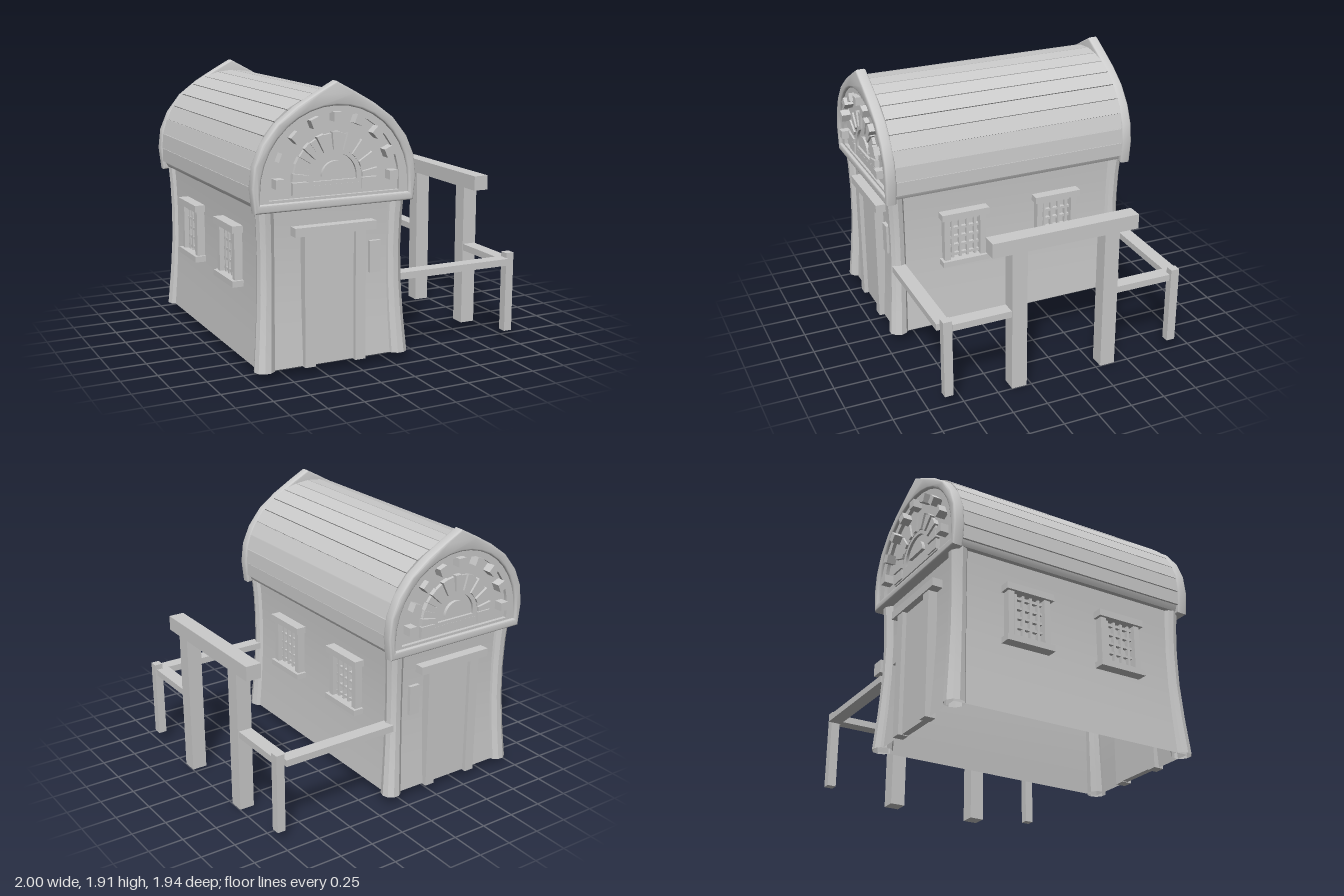
import * as THREE from 'three';
import { toCreasedNormals } from 'three/addons/utils/BufferGeometryUtils.js';

const mat = new THREE.MeshStandardMaterial({ color: 0xcccccc, side: THREE.DoubleSide });
const CX = -0.42; // the house sits left of the fenced yard

function add(parent, name, geo) {
  const m = new THREE.Mesh(geo, mat);
  m.name = name;
  parent.add(m);
  return m;
}

// Box given by its limits on each axis
function box(parent, name, x0, x1, y0, y1, z0, z1) {
  const m = add(parent, name, new THREE.BoxGeometry(x1 - x0, y1 - y0, z1 - z0));
  m.position.set((x0 + x1) / 2, (y0 + y1) / 2, (z0 + z1) / 2);
  return m;
}

// Flat shape extruded from z0 to z1, optionally with a rounded edge
function slab(parent, name, shape, z0, z1, bevel = 0) {
  const geo = new THREE.ExtrudeGeometry(shape, {
    depth: z1 - z0 - 2 * bevel, curveSegments: 16, bevelEnabled: bevel > 0,
    bevelSize: bevel, bevelThickness: bevel, bevelOffset: -bevel, bevelSegments: 3,
  });
  geo.translate(0, 0, z0 + bevel);
  return add(parent, name, toCreasedNormals(geo, 0.6));
}

// Skin through rings of equal point counts (open top and bottom)
function loft(rings) {
  const n = rings[0].length, pos = [], idx = [];
  rings.forEach((r) => r.forEach((p) => pos.push(...p)));
  for (let k = 0; k < rings.length - 1; k++) {
    for (let i = 0; i < n; i++) {
      const a = k * n + i, b = k * n + (i + 1) % n;
      idx.push(a, a + n, b, b, a + n, b + n);
    }
  }
  const geo = new THREE.BufferGeometry();
  geo.setAttribute('position', new THREE.Float32BufferAttribute(pos, 3));
  geo.setIndex(idx);
  return toCreasedNormals(geo, 0.6);
}

// Round arch outline with straight legs down to a base line
function archPoints(r, cy, base, segs = 18) {
  const pts = [new THREE.Vector2(-r, base), new THREE.Vector2(r, base)];
  for (let i = 0; i <= segs; i++) {
    const a = Math.PI * i / segs;
    pts.push(new THREE.Vector2(r * Math.cos(a), cy + r * Math.sin(a)));
  }
  return pts;
}

function withHole(outer, inner) {
  const s = new THREE.Shape(outer);
  if (inner) s.holes.push(new THREE.Path(inner));
  return s;
}

// Height and outward flare of the walls
const FLARE = [[0.06, 0.04], [0.2, 0.028], [0.32, 0.018], [0.57, 0.003], [0.8, 0], [1, 0.006], [1.17, 0.018]];

function buildWalls(house) {
  const rect = FLARE.map(([y, f]) => {
    const x = 0.484 + f * 0.8, z = 0.868 + f * 0.8;
    return [[x, y, z], [x, y, -z], [-x, y, -z], [-x, y, z]].reverse();
  });
  add(house, 'walls', loft(rect.map((r) => r.reverse())));
  for (const sx of [-1, 1]) for (const sz of [-1, 1]) {
    const rings = FLARE.map(([y, f]) => {
      const r = 0.058 + f * 0.3, ring = [];
      for (let i = 0; i < 10; i++) {
        const a = -2 * Math.PI * i / 10;
        ring.push([sx * (0.457 + f * 0.7) + r * Math.cos(a), y, sz * (0.85 + f * 0.7) + r * Math.sin(a)]);
      }
      return ring;
    });
    add(house, 'cornerPillar', loft(rings));
  }
}

function buildRoof(house) {
  // barrel core with slightly tucked eaves
  const core = archPoints(0.556, 1.27, 1.17, 16);
  core.splice(0, 2, new THREE.Vector2(-0.55, 1.17), new THREE.Vector2(-0.53, 1.13),
    new THREE.Vector2(0.53, 1.13), new THREE.Vector2(0.55, 1.17));
  slab(house, 'roofCore', new THREE.Shape(core), -0.88, 0.88);
  // planks laid around the barrel
  for (let i = 0; i < 16; i++) {
    const a = Math.PI * (i + 0.5) / 16;
    const p = add(house, 'roofPlank', new THREE.BoxGeometry(0.03, 0.106, 1.76));
    p.position.set(0.552 * Math.cos(a), 1.27 + 0.552 * Math.sin(a), 0);
    p.rotation.z = a;
  }
  for (const s of [-1, 1]) box(house, 'eavePlank', s * 0.552 - 0.013, s * 0.552 + 0.013, 1.17, 1.268, -0.88, 0.88);
}

function buildGable(end) {
  // pointed outer frame around a round arch
  const half = [[0.562, 1.108], [0.58, 1.27], [0.562, 1.41], [0.505, 1.54], [0.405, 1.665], [0.27, 1.765], [0.13, 1.845]];
  const outer = [...half.map(([x, y]) => new THREE.Vector2(x, y)), new THREE.Vector2(0, 1.915),
    ...half.map(([x, y]) => new THREE.Vector2(-x, y)).reverse()];
  slab(end, 'gableFrame', withHole(outer, archPoints(0.525, 1.235, 1.165)), 0.875, 0.952, 0.014);
  slab(end, 'gableInnerFrame', withHole(archPoints(0.53, 1.235, 1.16), archPoints(0.462, 1.255, 1.182)), 0.875, 0.93);
  slab(end, 'gablePanel', new THREE.Shape(archPoints(0.5, 1.235, 1.165)), 0.876, 0.905);

  // ring of small blocks
  for (let i = 0; i < 9; i++) {
    const a = Math.PI * i / 8;
    const b = add(end, 'gableBlock', new THREE.BoxGeometry(0.06, 0.06, 0.08));
    b.position.set(0.402 * Math.cos(a), 1.29 + 0.402 * Math.sin(a), 0.932);
    b.rotation.z = a;
  }
  // fan of arch stones, alternating in depth
  const N = 17;
  for (let i = 0; i < N; i++) {
    const a0 = Math.PI * i / N + 0.008, a1 = Math.PI * (i + 1) / N - 0.008;
    const at = (r, a) => new THREE.Vector2(r * Math.cos(a), 1.29 + r * Math.sin(a));
    const rOut = i % 2 ? 0.295 : 0.305;
    slab(end, 'archStone', new THREE.Shape([at(0.19, a0), at(rOut, a0), at(rOut, a1), at(0.19, a1)]),
      0.895, i % 2 ? 0.928 : 0.94);
  }
  for (const s of [-1, 1]) box(end, 'archFoot', s * 0.245 - 0.056, s * 0.245 + 0.056, 1.21, 1.283, 0.895, 0.935);
  box(end, 'archSill', -0.3, 0.3, 1.2, 1.255, 0.895, 0.925);
  slab(end, 'archStep', withHole(archPoints(0.195, 1.3, 1.25), archPoints(0.155, 1.3, 1.28)), 0.895, 0.924);
  slab(end, 'archCentre', new THREE.Shape(archPoints(0.095, 1.31, 1.309)), 0.895, 0.928);
}

// One end of the house; signSide picks the side of the door plaque
function buildEnd(house, signSide) {
  const end = new THREE.Group();
  end.name = 'gableEnd';
  buildGable(end);
  for (const s of [-1, 1]) box(end, 'doorJamb', s * 0.182 - 0.037, s * 0.182 + 0.037, 0.055, 0.935, 0.86, 0.935);
  box(end, 'door', -0.145, 0.145, 0.06, 0.93, 0.86, 0.905);
  box(end, 'doorLintel', -0.29, 0.29, 0.935, 0.993, 0.86, 0.945);
  const x = signSide * 0.31;
  box(end, 'doorPlaque', x - 0.04, x + 0.04, 0.63, 0.845, 0.86, 0.895);
  house.add(end);
  return end;
}

// Barred window on the +x wall
function buildWindow(parent, z) {
  const w = new THREE.Group();
  w.name = 'window';
  w.position.z = z;
  box(w, 'windowLintel', 0.47, 0.562, 0.905, 0.953, -0.18, 0.18);
  box(w, 'windowSill', 0.47, 0.565, 0.54, 0.582, -0.18, 0.18);
  for (const s of [-1, 1]) box(w, 'windowJamb', 0.47, 0.542, 0.58, 0.905, s * 0.138 - 0.022, s * 0.138 + 0.022);
  for (let i = 0; i < 4; i++) {
    const c = -0.087 + i * 0.058;
    box(w, 'verticalBar', 0.48, 0.514, 0.58, 0.905, c - 0.009, c + 0.009);
  }
  for (let i = 0; i < 5; i++) {
    const y = 0.607 + i * 0.068;
    box(w, 'crossBar', 0.48, 0.51, y - 0.009, y + 0.009, -0.12, 0.12);
  }
  parent.add(w);
}

function buildFence(root) {
  const fence = new THREE.Group();
  fence.name = 'fence';
  box(fence, 'gateBeam', 0.89, 1, 1.03, 1.135, -0.535, 0.535);
  for (const s of [-1, 1]) {
    const span = (name, x0, x1, y0, y1, a, b) =>
      box(fence, name, x0, x1, y0, y1, Math.min(s * a, s * b), Math.max(s * a, s * b));
    span('gatePost', 0.89, 0.998, 0, 1.03, 0.285, 0.395);
    span('cornerPost', 0.94, 1, 0.07, 0.64, 0.822, 0.885);
    span('houseRail', 0.08, 0.94, 0.557, 0.605, 0.815, 0.91);
    span('gateRail', 0.893, 0.99, 0.557, 0.605, 0.395, 0.815);
  }
  root.add(fence);
}

export function createModel() {
  const root = new THREE.Group();
  root.name = 'gatehouse';
  const house = new THREE.Group();
  house.name = 'house';
  house.position.x = CX;
  root.add(house);
  buildWalls(house);
  buildRoof(house);
  buildEnd(house, 1);
  buildEnd(house, -1).rotation.y = Math.PI;
  for (const turn of [0, Math.PI]) {
    const side = new THREE.Group();
    side.name = 'sideWindows';
    side.rotation.y = turn;
    for (const z of [-0.365, 0.365]) buildWindow(side, z);
    house.add(side);
  }
  buildFence(root);
  return root;
}
